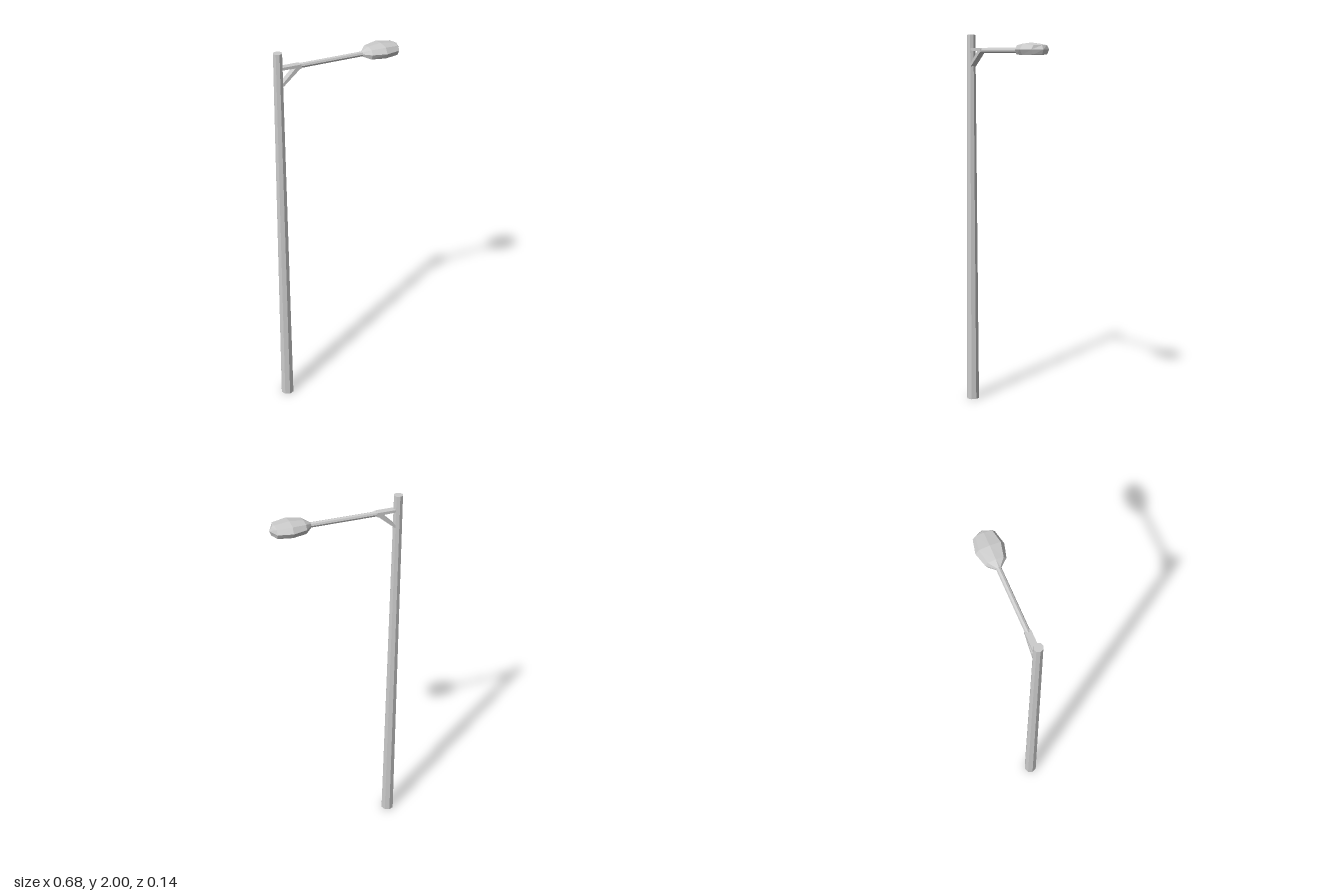
import * as THREE from 'three';

const material = new THREE.MeshStandardMaterial({ color: 0xcccccc, flatShading: true });

function addMesh(group, name, geometry) {
  const mesh = new THREE.Mesh(geometry, material);
  mesh.name = name;
  group.add(mesh);
  return mesh;
}

// Skin closed rings of points, ordered counterclockwise about +x
function loft(rings) {
  const n = rings[0].length;
  const positions = rings.flat(2);
  const index = [];
  for (let i = 0; i < rings.length - 1; i++) {
    for (let j = 0; j < n; j++) {
      const a = i * n + j, an = i * n + (j + 1) % n;
      index.push(a, an, a + n, an, an + n, a + n);
    }
  }
  for (let j = 1; j < n - 1; j++) index.push(0, j + 1, j);
  const geometry = new THREE.BufferGeometry();
  geometry.setAttribute('position', new THREE.Float32BufferAttribute(positions, 3));
  geometry.setIndex(index);
  const flat = geometry.toNonIndexed();
  flat.computeVertexNormals();
  return flat;
}

// One lamp cross-section: ridge, upper edge, widest line, lower edge, mirrored in z
function lampRing({ x, ridge, edge, mid = 1.923, low, z }) {
  const [xTop, xMid, xLow] = x;
  const [zTop, zMid, zLow] = z;
  return [
    [xTop, ridge, 0],
    [xTop, edge, zTop], [xMid, mid, zMid], [xLow, low, zLow],
    [xLow, low, -zLow], [xMid, mid, -zMid], [xTop, edge, -zTop],
  ];
}

export function createModel() {
  const group = new THREE.Group();
  group.name = 'streetLight';
  const poleX = -0.305;

  // Tapered octagonal pole
  const pole = addMesh(group, 'pole', new THREE.CylinderGeometry(0.023, 0.035, 2, 8));
  pole.position.set(poleX, 1, 0);

  // Triangular bracket with an open middle
  const outline = new THREE.Shape([
    [-0.295, 1.93], [-0.295, 1.83], [-0.283, 1.836], [-0.2, 1.907], [-0.19, 1.91], [-0.19, 1.929], [-0.2, 1.93],
  ].map(([x, y]) => new THREE.Vector2(x, y)));
  outline.holes.push(new THREE.Path([
    [-0.288, 1.917], [-0.222, 1.915], [-0.288, 1.85],
  ].map(([x, y]) => new THREE.Vector2(x, y))));
  const bracket = addMesh(group, 'bracket',
    new THREE.ExtrudeGeometry(outline, { depth: 0.032, bevelEnabled: false }));
  bracket.position.z = -0.016;

  // Slim horizontal arm
  const arm = addMesh(group, 'arm', new THREE.CylinderGeometry(0.013, 0.013, 0.345, 8));
  arm.rotation.z = -Math.PI / 2;
  arm.position.set(-0.028, 1.919, 0);

  // Faceted lamp head
  addMesh(group, 'lampHead', loft([
    { x: [0.137, 0.137, 0.137], ridge: 1.932, edge: 1.929, mid: 1.92, low: 1.908, z: [0.009, 0.014, 0.009] },
    { x: [0.17, 0.17, 0.17], ridge: 1.949, edge: 1.944, low: 1.898, z: [0.038, 0.051, 0.04] },
    { x: [0.24, 0.24, 0.24], ridge: 1.957, edge: 1.951, low: 1.897, z: [0.053, 0.07, 0.056] },
    { x: [0.313, 0.313, 0.311], ridge: 1.948, edge: 1.944, low: 1.898, z: [0.041, 0.054, 0.042] },
    { x: [0.327, 0.339, 0.329], ridge: 1.943, edge: 1.943, low: 1.898, z: [0, 0, 0] },
  ].map(lampRing)));

  return group;
}
